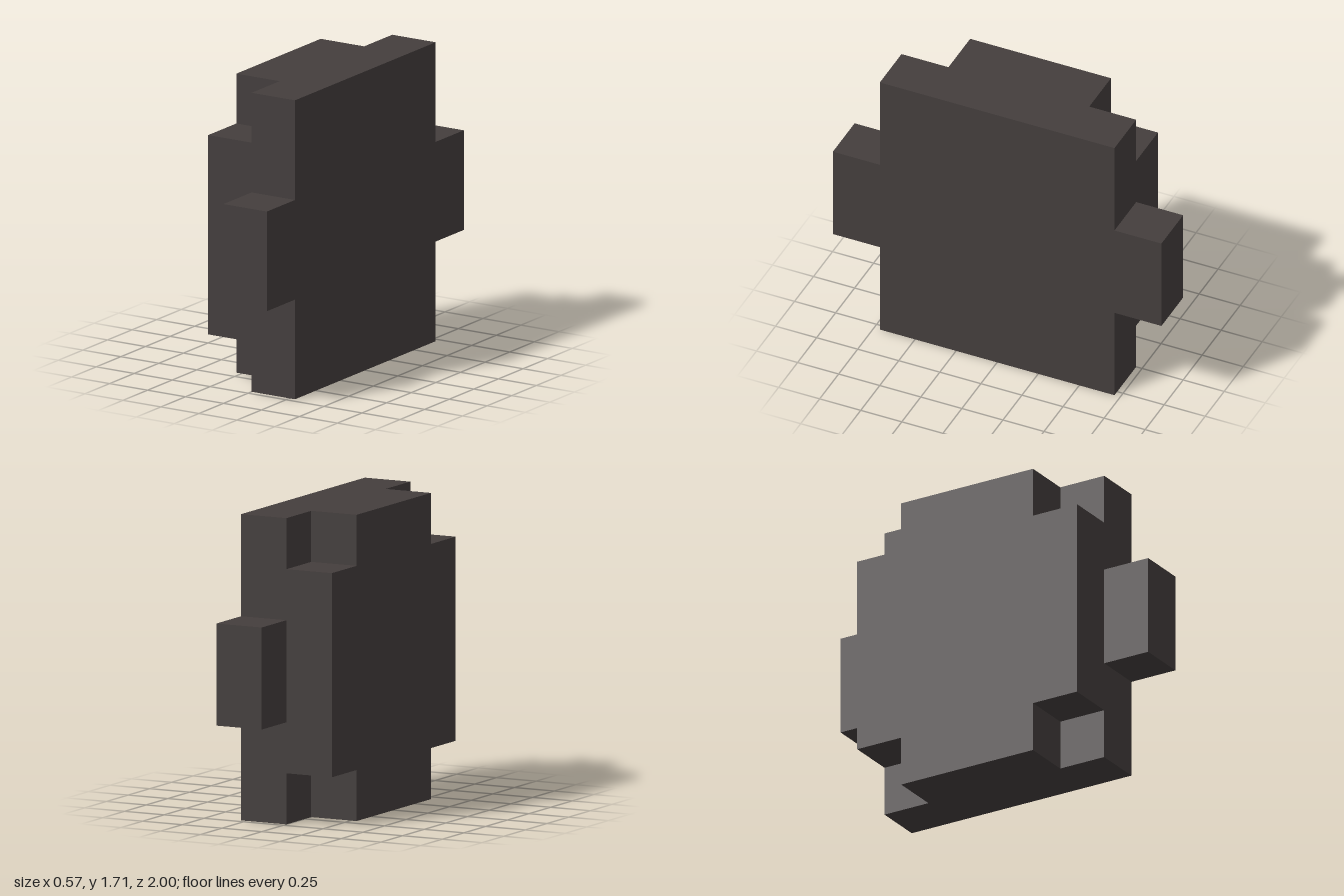
import * as THREE from 'three';

const U = 1 / 7; // module of the block grid

// Slab with a mirrored stepped outline in the z-y plane, extruded along x
function slab(name, half, x0, material) {
  const points = [
    ...half.map(([z, y]) => new THREE.Vector2(z * U, y * U)),
    ...half.slice().reverse().map(([z, y]) => new THREE.Vector2(-z * U, y * U)),
  ];
  const geometry = new THREE.ExtrudeGeometry(new THREE.Shape(points), {
    depth: 2 * U,
    bevelEnabled: false,
  });
  geometry.rotateY(Math.PI / 2);
  geometry.translate(x0 * U, 0, 0);
  const mesh = new THREE.Mesh(geometry, material);
  mesh.name = name;
  return mesh;
}

export function createModel() {
  const group = new THREE.Group();
  group.name = 'steppedBlock';
  const charcoal = new THREE.MeshStandardMaterial({ color: 0x443e3d, flatShading: true });
  charcoal.name = 'charcoal';

  // Left half: full plate with a tab at the front and back edge
  const tabbed = [[5, 0], [5, 4], [7, 4], [7, 8], [5, 8], [5, 12]];
  // Right half: plate with its four corners notched
  const notched = [[3, 0], [3, 2], [5, 2], [5, 10], [3, 10], [3, 12]];

  group.add(slab('tabbedPlate', tabbed, 0, charcoal));
  group.add(slab('notchedPlate', notched, -2, charcoal));
  return group;
}
